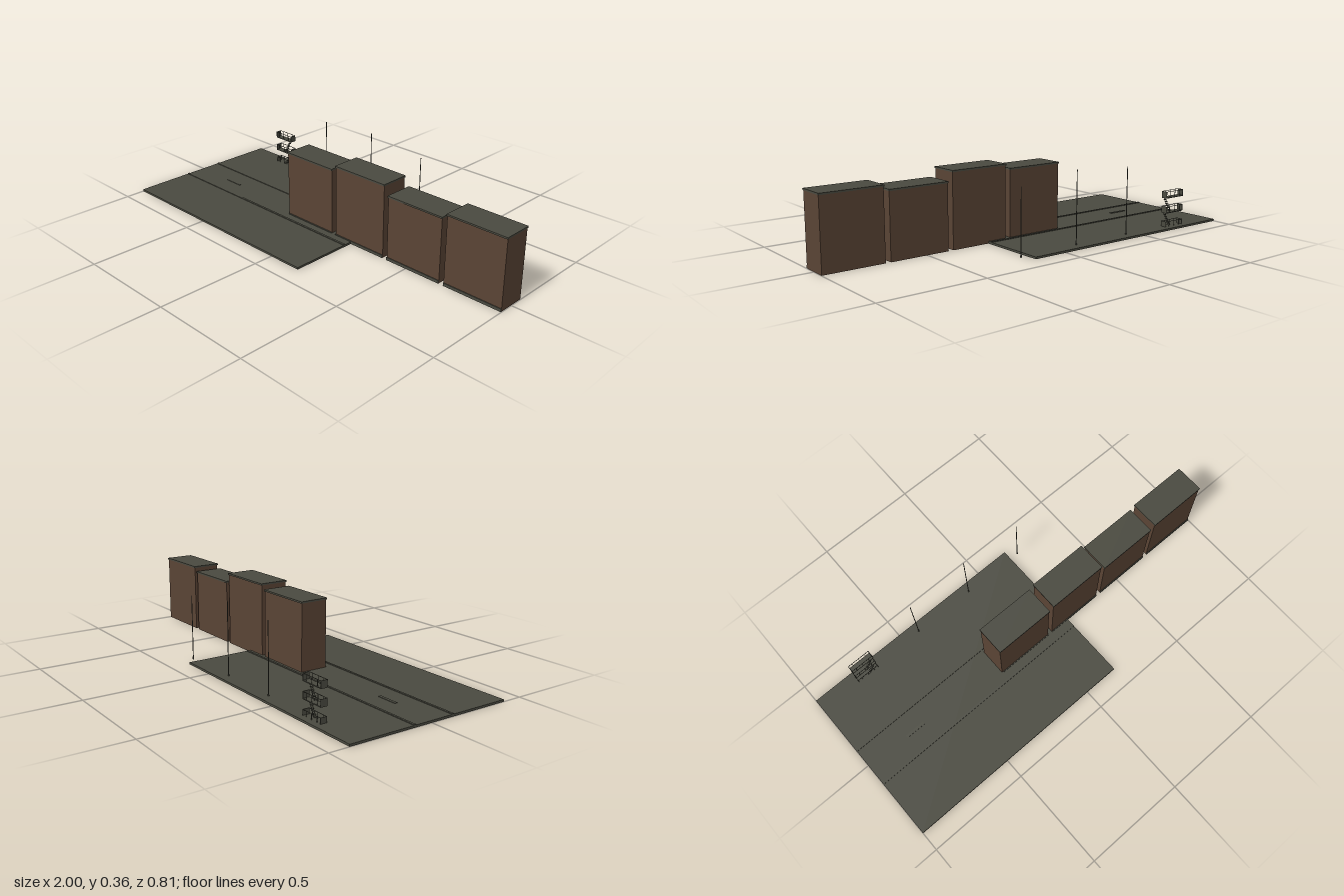
import * as THREE from 'three';

export function createModel() {
  const model = new THREE.Group();
  const stone = new THREE.MeshStandardMaterial({ color: 0x4a4a40 });
  stone.name = 'grey stone and iron';
  const brick = new THREE.MeshStandardMaterial({ color: 0x5a4435 });
  brick.name = 'brown brick';

  // Box given by its lowest and highest corners
  function box(parent, name, x0, x1, y0, y1, z0, z1, material = stone) {
    const mesh = new THREE.Mesh(new THREE.BoxGeometry(x1 - x0, y1 - y0, z1 - z0), material);
    mesh.position.set((x0 + x1) / 2, (y0 + y1) / 2, (z0 + z1) / 2);
    mesh.name = name;
    parent.add(mesh);
    return mesh;
  }
  function group(name) {
    const g = new THREE.Group();
    g.name = name;
    model.add(g);
    return g;
  }

  // Street slab with two low kerbs and a lane dash
  const street = group('street');
  box(street, 'slab', -1, 0.172, 0, 0.01, -0.405, 0.405);
  for (const z of [0.113, -0.088]) box(street, 'kerb', -1, 0.172, 0.01, 0.0135, z - 0.005, z + 0.005);
  box(street, 'laneDash', -0.782, -0.682, 0.01, 0.0125, 0.006, 0.02);

  // Row of four buildings with cornices and front plinths
  [[-0.247, 0.335], [0.07, 0.358], [0.387, 0.313], [0.704, 0.335]].forEach(([x, h]) => {
    const b = group('building');
    const x1 = x + 0.296;
    box(b, 'walls', x + 0.002, x1 - 0.002, 0, h - 0.008, -0.067, 0.067, brick);
    box(b, 'cornice', x, x1, h - 0.008, h, -0.071, 0.071);
    box(b, 'plinth', x + 0.002, x1 - 0.002, 0, 0.014, 0.067, 0.071);
  });

  // Slender poles behind the buildings
  [[-0.415, 0.333], [-0.1, 0.353], [0.217, 0.312]].forEach(([x, h]) => {
    const pole = group('pole');
    const shaft = new THREE.Mesh(new THREE.CylinderGeometry(0.0018, 0.0022, h - 0.005, 8), stone);
    shaft.position.set(x, (h + 0.005) / 2, -0.36);
    shaft.name = 'shaft';
    const foot = new THREE.Mesh(new THREE.CylinderGeometry(0.003, 0.004, 0.012, 8), stone);
    foot.position.set(x, 0.012, -0.36);
    foot.name = 'foot';
    pole.add(shaft, foot);
  });

  // Fire escape: three railed landings joined by stairs
  const escape = group('fireEscape');
  const left = -0.79, right = -0.674, back = -0.376, front = -0.344;
  [0.003, 0.077, 0.151].forEach((y, level) => {
    box(escape, 'landing', left, right, y, y + 0.004, back, front);
    for (const x of [left, right - 0.002])
      box(escape, 'endPanel', x, x + 0.002, y, y + 0.033, back, front);
    for (const z of [back, front - 0.002]) {
      box(escape, 'topRail', left, right, y + 0.031, y + 0.033, z, z + 0.002);
      for (const x of [-0.768, -0.733, -0.698])
        box(escape, 'railPost', x, x + 0.0015, y, y + 0.032, z, z + 0.002);
    }
    if (level === 2) return;
    // Flight of stairs rising toward the model's left
    const run = 0.04, rise = 0.074, steps = 7;
    for (const z of [-0.355, -0.346]) {
      const stringer = box(escape, 'stringer', -0.001, 0.001, 0, Math.hypot(run, rise), z, z + 0.0015);
      stringer.position.set(-0.704, y + 0.004 + rise / 2, z);
      stringer.rotation.z = -Math.atan2(run, rise);
    }
    for (let i = 0; i < steps; i++) {
      const x = -0.724 + (run * (i + 0.5)) / steps;
      const sy = y + 0.004 + (rise * (i + 0.5)) / steps;
      box(escape, 'tread', x - 0.007, x + 0.007, sy, sy + 0.0015, -0.355, -0.345);
    }
  });

  return model;
}
